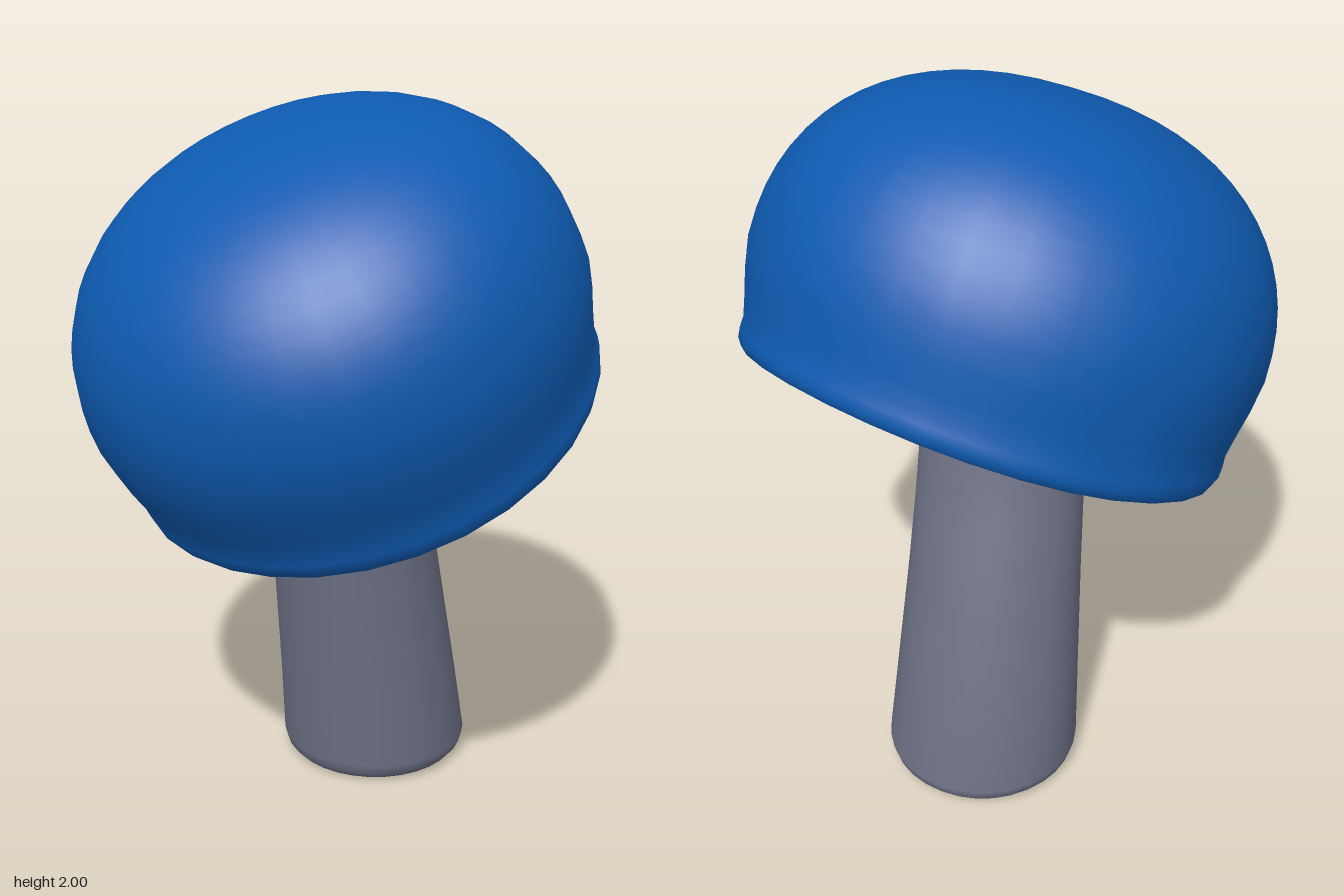
import * as THREE from 'three';

// Lathe with a profile of [radius, height]; rising profiles face outwards.
// The lower edge dips gently on two opposite sides.
function lathe(name, profile, color) {
  const geo = new THREE.LatheGeometry(profile.map(([r, y]) => new THREE.Vector2(r, y)), 32);
  const pos = geo.attributes.position;
  for (let i = 0; i < pos.count; i++) {
    const x = pos.getX(i), y = pos.getY(i), z = pos.getZ(i);
    const dip = 0.02 + 0.02 * (2 * x * z) / (x * x + z * z + 1e-6);
    pos.setY(i, y - dip * Math.max(0, 1 - Math.max(0, y) / 0.28));
  }
  const mesh = new THREE.Mesh(geo, new THREE.MeshStandardMaterial({ color, side: THREE.DoubleSide }));
  mesh.name = name;
  return mesh;
}

// Stem: elliptical rings following a leaning, curved centre line
function makeStem() {
  // [y, centre x, centre z, radius x, radius z]
  const rings = [
    [0, 0.055, -0.225, 0.23, 0.23],
    [0.01, 0.055, -0.225, 0.253, 0.253],
    [0.03, 0.055, -0.225, 0.27, 0.27],
    [0.06, 0.055, -0.225, 0.278, 0.278],
    [0.3, 0.042, -0.188, 0.264, 0.258],
    [0.6, 0.026, -0.13, 0.247, 0.231],
    [0.8, 0.016, -0.085, 0.238, 0.207],
    [0.95, 0.01, -0.053, 0.232, 0.191],
    [1.1, 0.006, -0.028, 0.228, 0.183],
    [1.3, 0.003, -0.01, 0.222, 0.178],
    [1.7, 0, 0.02, 0.21, 0.175],
  ];
  const n = 32, pos = [], index = [];
  for (const [y, cx, cz, rx, rz] of rings)
    for (let i = 0; i < n; i++) {
      const a = (i / n) * Math.PI * 2;
      pos.push(cx + rx * Math.sin(a), y, cz + rz * Math.cos(a));
    }
  for (let r = 0; r < rings.length - 1; r++)
    for (let i = 0; i < n; i++) {
      const j = (i + 1) % n, a = r * n + i, b = r * n + j;
      index.push(a, b, b + n, a, b + n, a + n);
    }
  // Flat ends with their own vertices
  for (const r of [0, rings.length - 1]) {
    const start = pos.length / 3;
    pos.push(...pos.slice(r * n * 3, (r + 1) * n * 3));
    for (let i = 1; i < n - 1; i++)
      index.push(start, ...(r ? [start + i, start + i + 1] : [start + i + 1, start + i]));
  }
  const geo = new THREE.BufferGeometry();
  geo.setAttribute('position', new THREE.Float32BufferAttribute(pos, 3));
  geo.setIndex(index);
  geo.computeVertexNormals();
  const mesh = new THREE.Mesh(geo, new THREE.MeshStandardMaterial({ color: 0x6c7084 }));
  mesh.name = 'stem';
  return mesh;
}

// Cap: full domed shell with a faint lip and a hollow underside
function makeCap() {
  const cap = new THREE.Group();
  cap.name = 'cap';
  const outer = [[0.645, 0], [0.66, 0.005], [0.672, 0.025], [0.674, 0.05], [0.672, 0.08], [0.682, 0.13], [0.698, 0.2]];
  // Slightly squared quarter ellipse for the dome
  const steps = 16, power = 2 / 2.25;
  for (let i = 0; i < steps; i++) {
    const a = (i / steps) * Math.PI / 2;
    outer.push([0.71 * Math.cos(a) ** power, 0.28 + 0.585 * Math.sin(a) ** power]);
  }
  outer.push([0, 0.865]);
  // Underside runs from the hollow's ceiling over the inner ridge to the lip
  const inner = [
    [0, 0.64], [0.24, 0.62], [0.33, 0.54], [0.41, 0.38], [0.47, 0.2], [0.495, 0.115],
    [0.51, 0.092], [0.53, 0.088], [0.55, 0.098], [0.575, 0.095], [0.605, 0.065], [0.635, 0.02], [0.645, 0],
  ];
  cap.add(lathe('capDome', outer, 0x0e5ab0), lathe('capUnderside', inner, 0x95a244));
  // Lean the cap forwards and to its right
  cap.position.set(0.065, 1.12, -0.08);
  cap.quaternion.setFromUnitVectors(
    new THREE.Vector3(0, 1, 0), new THREE.Vector3(-0.25, 0.902, 0.35).normalize());
  return cap;
}

export function createModel() {
  const model = new THREE.Group();
  model.name = 'mushroom';
  model.add(makeStem(), makeCap());
  return model;
}
